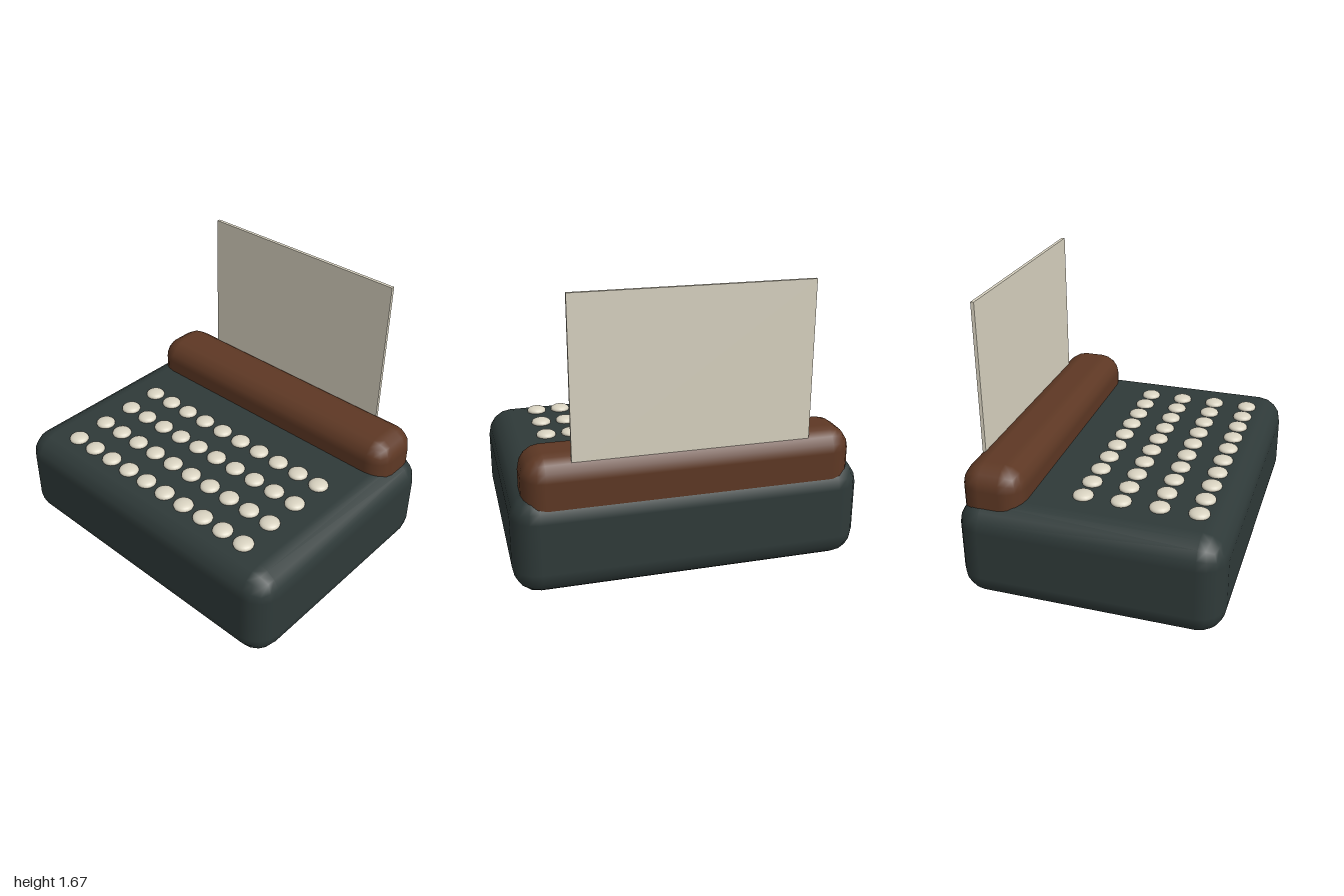
import * as THREE from 'three';

const SEG = 2; // facets per half of a rounded edge

// Box with evenly rounded edges: each grid vertex becomes a corner offset by a unit direction
function roundedBox(w, h, d, r) {
  const n = 2 * SEG + 1;
  const geo = new THREE.BoxGeometry(1, 1, 1, n, n, n);
  const pos = geo.attributes.position;
  const nor = geo.attributes.normal;
  const slope = (c) => {
    const i = Math.round((c + 0.5) * n);
    const t = i <= SEG ? i / SEG - 1 : (i - SEG - 1) / SEG;
    return Math.tan(t * Math.PI / 4);
  };
  const dir = new THREE.Vector3();
  for (let i = 0; i < pos.count; i++) {
    const x = pos.getX(i), y = pos.getY(i), z = pos.getZ(i);
    dir.set(slope(x), slope(y), slope(z)).normalize();
    pos.setXYZ(i,
      Math.sign(x) * (w / 2 - r) + dir.x * r,
      Math.sign(y) * (h / 2 - r) + dir.y * r,
      Math.sign(z) * (d / 2 - r) + dir.z * r);
    nor.setXYZ(i, dir.x, dir.y, dir.z);
  }
  return geo;
}

export function createModel() {
  const group = new THREE.Group();
  const material = (name, color) => {
    const m = new THREE.MeshStandardMaterial({ color });
    m.name = name;
    return m;
  };
  const casing = material('dark green casing', 0x2f3a39);
  const brown = material('brown roller', 0x5e3824);
  const cream = material('cream', 0xd8d2c0);

  const add = (name, geo, mat, x, y, z, parent = group) => {
    const mesh = new THREE.Mesh(geo, mat);
    mesh.name = name;
    mesh.position.set(x, y, z);
    parent.add(mesh);
    return mesh;
  };

  // Main casing, carriage and paper
  add('body', roundedBox(2, 0.6, 1.534, 0.15), casing, 0, 0.3, 0);
  add('carriage', roundedBox(1.867, 0.4, 0.367, 0.125), brown, 0, 0.6, -0.567);
  add('paper', new THREE.BoxGeometry(1.333, 0.95, 0.02), cream, 0, 1.192, -0.7);

  // Four rows of ten flattened round keys
  const keys = new THREE.Group();
  keys.name = 'keys';
  group.add(keys);
  const keyGeo = new THREE.SphereGeometry(0.06, 20, 12).scale(1, 0.45, 1);
  for (let row = 0; row < 4; row++) {
    for (let col = 0; col < 10; col++) {
      add('key', keyGeo, cream, (col - 4.5) * 0.1533, 0.607, -0.1 + row * 0.221, keys);
    }
  }
  return group;
}
